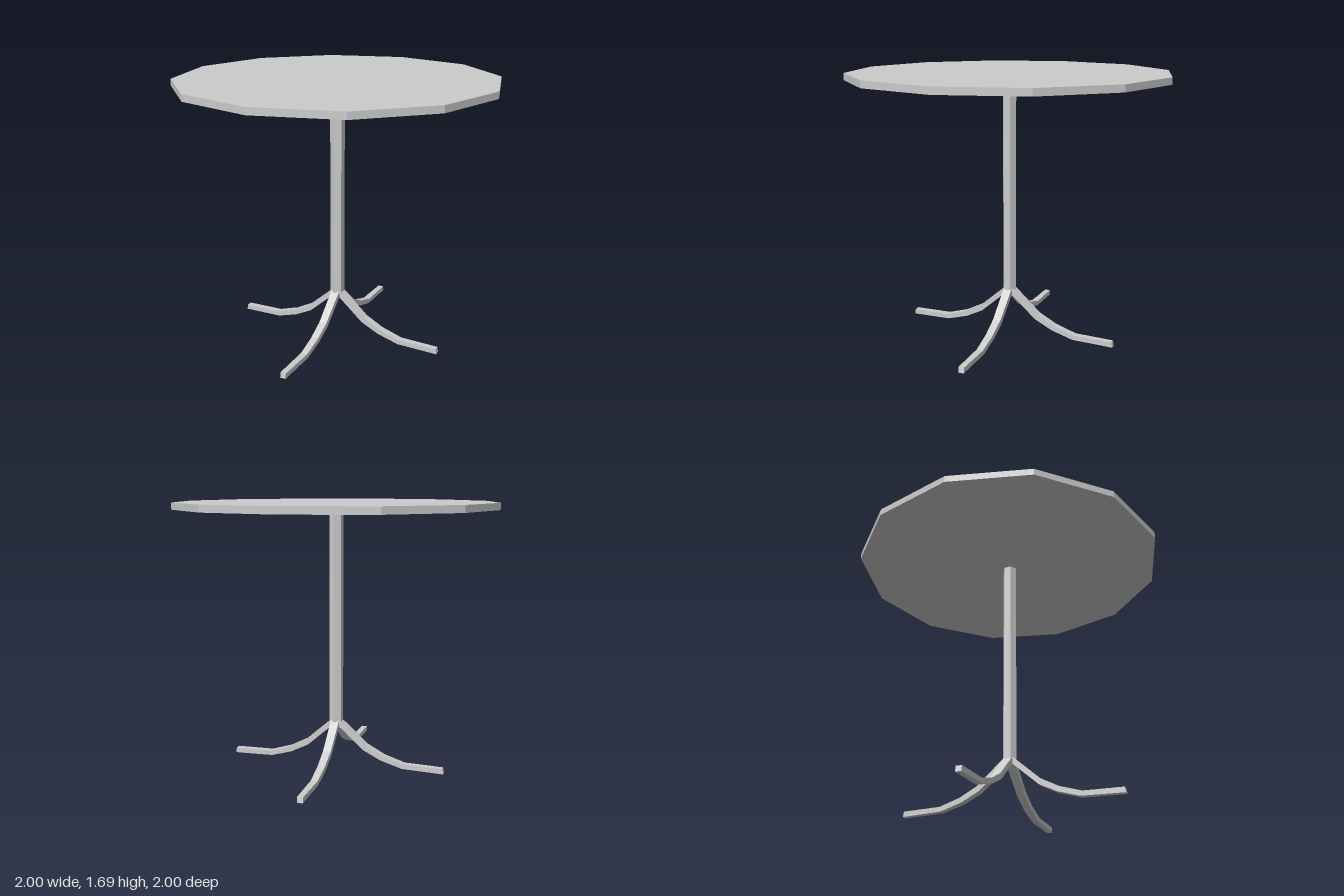
import * as THREE from 'three';

const TURN = 0.026; // slight twist of the top and the feet

export function createModel() {
  const group = new THREE.Group();
  const material = new THREE.MeshStandardMaterial({ color: 0xcccccc, flatShading: true });

  const add = (name, geometry) => {
    const mesh = new THREE.Mesh(geometry, material);
    mesh.name = name;
    group.add(mesh);
    return mesh;
  };

  // Twelve-sided top
  const top = add('tabletop', new THREE.CylinderGeometry(1, 1, 0.042, 12));
  top.position.y = 1.669;
  top.rotation.y = TURN;

  // Six-sided column
  const column = add('column', new THREE.CylinderGeometry(0.045, 0.045, 1.37, 6));
  column.position.y = 0.965;

  // Side outline of one curved leg, running out along +x
  const outline = [
    [0, 0.277], [0.19, 0.108], [0.305, 0.05], [0.445, 0.008], [0.71, 0],
    [0.704, 0.034], [0.455, 0.038], [0.32, 0.08], [0.205, 0.14], [0.03, 0.295], [0, 0.32],
  ].map(([x, y]) => new THREE.Vector2(x, y));
  const legGeometry = new THREE.ExtrudeGeometry(new THREE.Shape(outline), { depth: 1, bevelEnabled: false });
  legGeometry.translate(0, 0, -0.5);

  // Taper the width from root to tip
  const p = legGeometry.attributes.position;
  for (let i = 0; i < p.count; i++) {
    p.setZ(i, p.getZ(i) * THREE.MathUtils.lerp(0.056, 0.036, p.getX(i) / 0.71));
  }
  legGeometry.computeVertexNormals();

  // Four legs around the column
  for (let i = 0; i < 4; i++) {
    add('leg' + (i + 1), legGeometry).rotation.y = TURN + (i * Math.PI) / 2;
  }

  return group;
}
